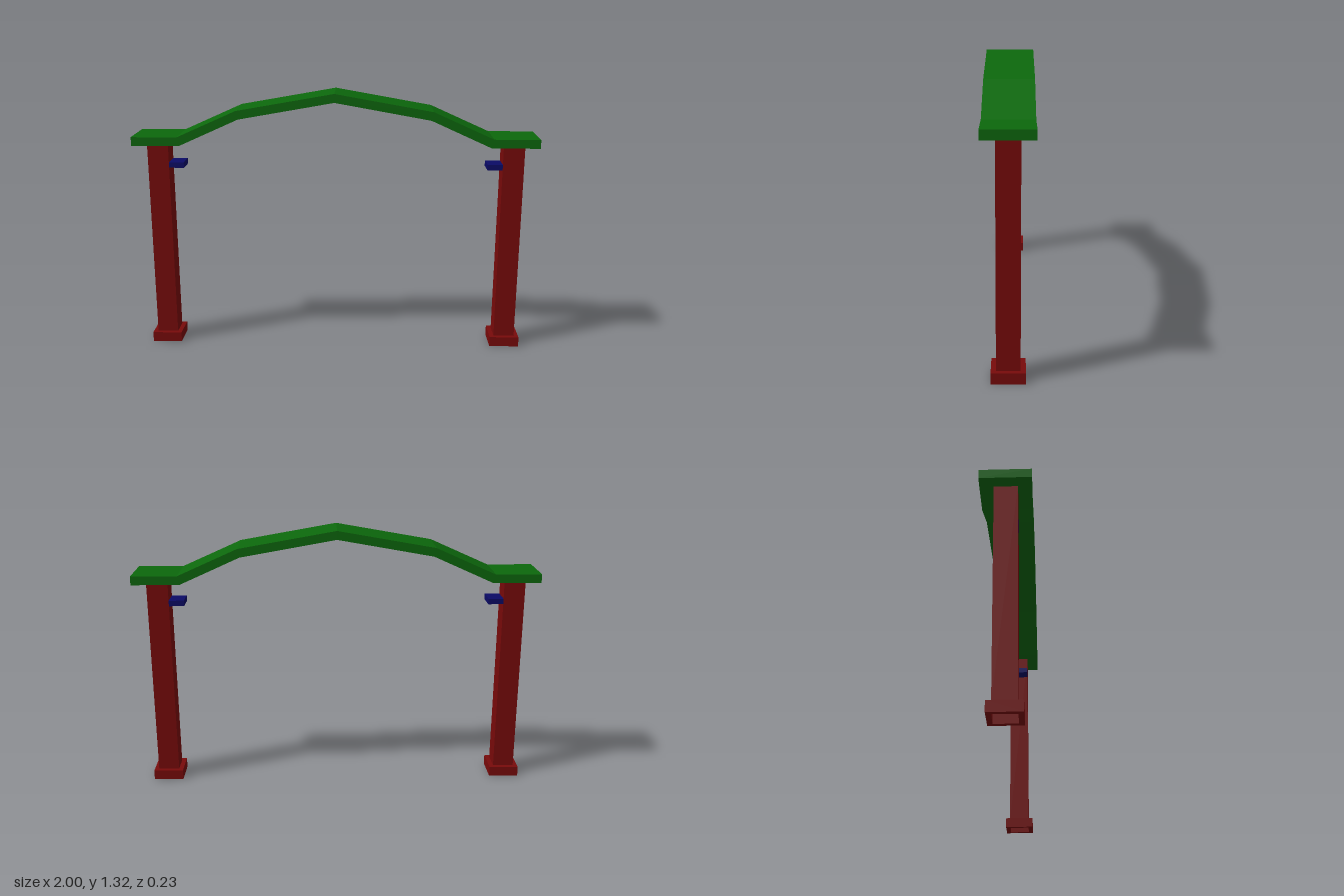
import * as THREE from 'three';

const material = (color) => new THREE.MeshStandardMaterial({ color, flatShading: true });
const red = material(0x780a0a);
const green = material(0x0c680c);
const blue = material(0x0a0a66);

function add(parent, name, geometry, mat, x = 0, y = 0, z = 0) {
  const mesh = new THREE.Mesh(geometry, mat);
  mesh.name = name;
  mesh.position.set(x, y, z);
  parent.add(mesh);
  return mesh;
}

// Square outline centred on the origin
function square(PathType, size) {
  const h = size / 2;
  return new PathType([[-h, -h], [h, -h], [h, h], [-h, h]].map(([x, y]) => new THREE.Vector2(x, y)));
}

export function createModel() {
  const group = new THREE.Group();
  group.name = 'archway';

  const columnSize = 0.105, baseSize = 0.15, baseHeight = 0.05;
  const columnX = 0.885, beamBottom = 1.06;

  // Square collar around the foot of each column, hollow underneath
  const collar = square(THREE.Shape, baseSize);
  collar.holes.push(square(THREE.Path, columnSize));
  const baseGeometry = new THREE.ExtrudeGeometry(collar, { depth: baseHeight, bevelEnabled: false });
  baseGeometry.rotateX(-Math.PI / 2);

  const columnHeight = beamBottom - baseHeight;
  const columnGeometry = new THREE.BoxGeometry(columnSize, columnHeight, columnSize);
  const bracketGeometry = new THREE.BoxGeometry(0.075, 0.028, columnSize);

  for (const side of [-1, 1]) {
    const post = new THREE.Group();
    post.name = side < 0 ? 'rightPost' : 'leftPost';
    add(post, 'base', baseGeometry, red, side * columnX);
    add(post, 'column', columnGeometry, red, side * columnX, baseHeight + columnHeight / 2);
    // Small shelf on the inner face of the column
    add(post, 'bracket', bracketGeometry, blue, side * 0.795, 0.951);
    group.add(post);
  }

  // Bent roof beam: half profiles mirrored across x = 0
  const mirror = (half) => [...half, ...half.slice(0, -1).reverse().map(([x, y]) => [-x, y])];
  const top = mirror([[-1, 1.103], [-0.775, 1.103], [-0.48, 1.235], [0, 1.32]]);
  const bottom = mirror([[-1, beamBottom], [-0.765, beamBottom], [-0.47, 1.193], [0, 1.277]]);
  const outline = [...bottom, ...top.reverse()].map(([x, y]) => new THREE.Vector2(x, y));
  const depth = 0.23;
  const beam = new THREE.ExtrudeGeometry(new THREE.Shape(outline), { depth, bevelEnabled: false });
  add(group, 'archBeam', beam, green, 0, 0, -depth / 2);

  return group;
}
